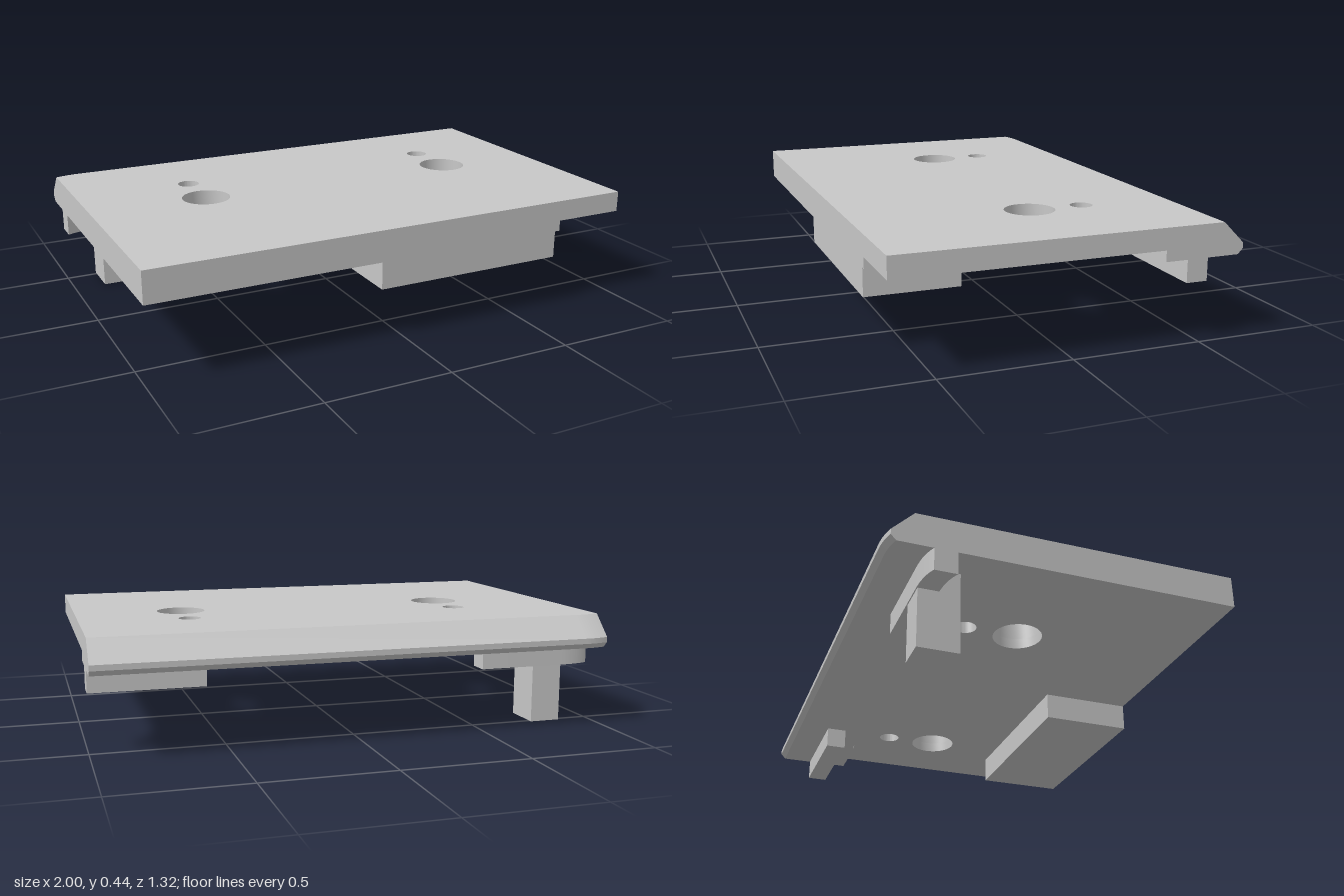
import * as THREE from 'three';
import { toCreasedNormals } from 'three/addons/utils/BufferGeometryUtils.js';

const TOP = 0.438, STEP = 0.356, UNDER = 0.314; // plate levels
const FRONT = 0.66, BACK = -0.663;
const HOLE_X = [-0.528, 0.579];

export function createModel() {
  const group = new THREE.Group();
  const grey = new THREE.MeshStandardMaterial({ color: 0xc8c8c8 });
  grey.name = 'grey';

  const add = (name, geometry) => {
    const mesh = new THREE.Mesh(geometry, grey);
    mesh.name = name;
    group.add(mesh);
    return mesh;
  };
  const box = (name, x0, x1, y0, y1, z0, z1) =>
    add(name, new THREE.BoxGeometry(x1 - x0, y1 - y0, z1 - z0))
      .position.set((x0 + x1) / 2, (y0 + y1) / 2, (z0 + z1) / 2);

  // plan shape (drawn in x, -z) raised from y0 to y1; the back edge is
  // pulled forward by topCut at the upper level and bottomCut at the lower one
  const raise = (name, shape, y0, y1, steps = 1, topCut = 0, bottomCut = 0) => {
    const g = new THREE.ExtrudeGeometry(shape, { depth: y1 - y0, steps, bevelEnabled: false, curveSegments: 24 });
    g.rotateX(-Math.PI / 2).translate(0, y0, 0);
    const p = g.attributes.position;
    for (let i = 0; i < p.count; i++) {
      if (p.getZ(i) > -0.6) continue;
      if (p.getY(i) > y1 - 0.001) p.setZ(i, p.getZ(i) + topCut);
      if (p.getY(i) < y0 + 0.001) p.setZ(i, p.getZ(i) + bottomCut);
    }
    g.computeVertexNormals();
    add(name, toCreasedNormals(g, 0.4));
  };

  // back edge from +x to -x, sweeping forward at the -x corner
  const backEdge = (shape) => {
    shape.lineTo(1, -BACK).lineTo(-0.9, -BACK);
    shape.quadraticCurveTo(-0.95, -BACK, -1, -BACK - 0.016);
    return shape.closePath();
  };
  const drill = (shape) => {
    for (const x of HOLE_X) {
      for (const [z, r] of [[-0.012, 0.096], [-0.225, 0.043]]) {
        shape.holes.push(new THREE.Path().absarc(x, -z, r, 0, Math.PI * 2, true));
      }
    }
    return shape;
  };

  // upper plate layer with the wide back chamfer
  const upper = new THREE.Shape().moveTo(-1, -FRONT).lineTo(1, -FRONT);
  raise('upperPlate', drill(backEdge(upper)), STEP, TOP, 1, 0.082, 0);

  // lower plate layer, cut back along the left side with a round corner relief
  const lower = new THREE.Shape().moveTo(-1, -FRONT).lineTo(0.712, -FRONT).lineTo(0.712, 0.295);
  lower.absarc(0.7395, 0.3225, 0.0389, Math.PI * 1.25, Math.PI * 0.25, true);
  lower.lineTo(1, 0.35);
  raise('lowerPlate', drill(backEdge(lower)), UNDER, STEP, 2, 0, 0.02);

  // floors that make the small holes blind
  for (const x of HOLE_X) {
    const floor = new THREE.CylinderGeometry(0.043, 0.043, 0.035, 48);
    add('smallHoleFloor', floor).position.set(x, 0.395, -0.225);
  }

  // block under the front edge
  box('frontBlock', -0.095, 0.691, 0.207, UNDER, 0.298, FRONT);

  // straight rib at the left, curved rib and post at the right
  box('leftRib', 0.57, 1, 0.228, UNDER, -0.519, -0.437);
  const rib = new THREE.Shape();
  rib.moveTo(-0.53, 0.437).lineTo(-0.53, 0.519).lineTo(-0.87, 0.519);
  rib.quadraticCurveTo(-0.95, 0.519, -1, 0.495).lineTo(-1, 0.41);
  rib.quadraticCurveTo(-0.95, 0.437, -0.87, 0.437).closePath();
  raise('rightRib', rib, 0.228, UNDER);
  box('post', -0.875, -0.752, 0, UNDER, -0.515, -0.36);

  return group;
}
